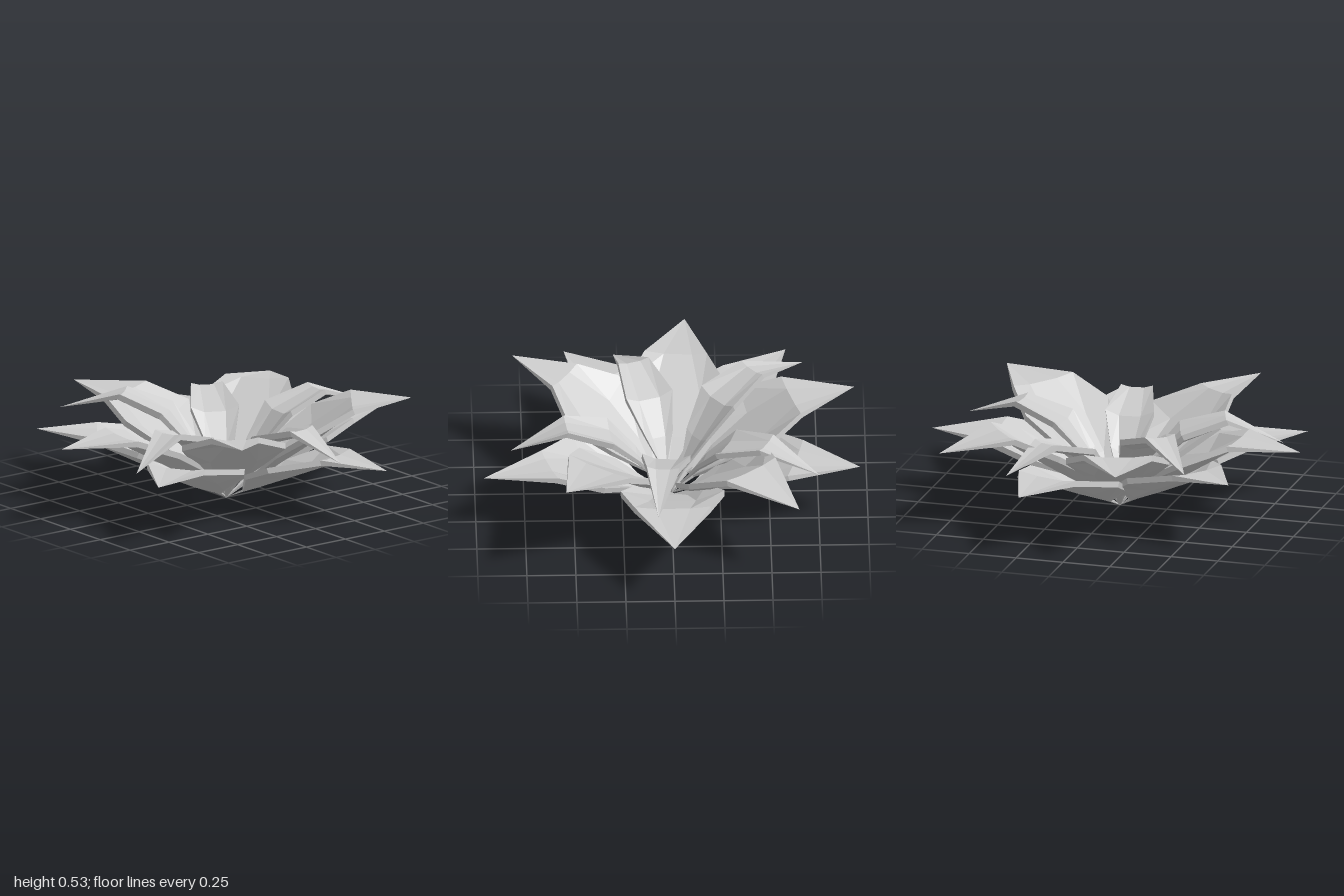
import * as THREE from 'three';

const material = new THREE.MeshStandardMaterial({ color: 0xcccccc, flatShading: true });

// Blade cross-sections as [radius, half width, height as a share of the shoulder's, edge lift]
const broadBlade = [[0.24, 0.18, 0.42, 0.065], [0.44, 0.265, 0.71, 0.062]];
const slimBlade = [[0.17, 0.075, 0.5, 0.025], [0.31, 0.125, 0.82, 0.03]];

// Leaves as [tip x, tip height, tip z, shoulder height, shoulder half width on each side]
const outerLeaves = [
  [0, 0.32, -1, 0.34, 0.2, 0.19], [0.96, 0.3, -0.3, 0.315, 0.11, 0.16],
  [0.53, 0.31, 0.84, 0.32, 0.18, 0.13], [-0.6, 0.36, 0.76, 0.345, 0.14, 0.17],
  [-0.96, 0.31, -0.25, 0.32, 0.2, 0.14],
];
const middleLeaves = [
  [0.55, 0.52, -0.77, 0.5, 0.19, 0.19], [0.8, 0.51, 0.51, 0.48, 0.13, 0.11],
  [-0.09, 0.4, 0.99, 0.42, 0.14, 0.18], [-0.94, 0.46, 0.26, 0.46, 0.17, 0.18],
  [-0.64, 0.4, -0.77, 0.46, 0.18, 0.15],
];
const innerLeaves = [
  [0.08, 0.4, -0.83, 0.5], [0.82, 0.34, -0.11, 0.46], [0.28, 0.32, 0.79, 0.46],
  [-0.68, 0.42, 0.55, 0.52], [-0.75, 0.35, -0.38, 0.45],
];

// Closed ring of eight points: upper face left to right, lower face back again
function ring(r, wLeft, wRight, y, lift, thickness = Math.min(0.028, r * 0.1)) {
  const upper = [[-wLeft, y + lift], [-wLeft * 0.45, y], [wRight * 0.45, y], [wRight, y + lift]]
    .map(([x, h]) => [x, h, r]);
  const lower = upper.map(([x, h, z]) => [x, h - thickness, z + thickness * 0.4]).reverse();
  return [...upper, ...lower];
}

// Thick cupped leaf running along +z: root, narrow stalk, blade, shoulder and sharp tip
function leafGeometry(blade, shoulderR, [x, tipY, z, shoulderY, wLeft = 0.082, wRight = 0.082]) {
  const [bladeR, , bladeY] = blade[0];
  const rings = [
    ring(0, 0.004, 0.004, 0, 0),
    ring(bladeR * 0.47, 0.018, 0.018, bladeY * 0.48 * shoulderY, 0),
    ...blade.map(([r, w, y, lift]) => ring(r, w, w, y * shoulderY, lift)),
    ring(shoulderR, wLeft, wRight, shoulderY, 0.012),
    ring(Math.hypot(x, z), 0, 0, tipY, 0, 0),
  ];
  const n = 8, index = [];
  for (let i = 0; i < rings.length - 1; i++) {
    for (let j = 0; j < n; j++) {
      const a = i * n + j, b = i * n + (j + 1) % n;
      index.push(a, a + n, b);
      if (i < rings.length - 2) index.push(b, a + n, b + n);
    }
  }
  const geometry = new THREE.BufferGeometry();
  geometry.setAttribute('position', new THREE.Float32BufferAttribute(rings.flat(2), 3));
  geometry.setIndex(index);
  geometry.computeVertexNormals();
  return geometry;
}

// One whorl of leaves, each turned towards its tip
function whorl(name, blade, shoulderR, leaves) {
  const group = new THREE.Group();
  group.name = name + 'Tier';
  for (const spec of leaves) {
    const leaf = new THREE.Mesh(leafGeometry(blade, shoulderR, spec), material);
    leaf.name = name;
    leaf.rotation.y = Math.atan2(spec[0], spec[2]);
    group.add(leaf);
  }
  return group;
}

export function createModel() {
  const plant = new THREE.Group();
  plant.name = 'leafRosette';
  plant.add(
    whorl('outerLeaf', broadBlade, 0.66, outerLeaves),
    whorl('middleLeaf', broadBlade, 0.64, middleLeaves),
    whorl('innerLeaf', slimBlade, 0.54, innerLeaves),
  );
  return plant;
}
